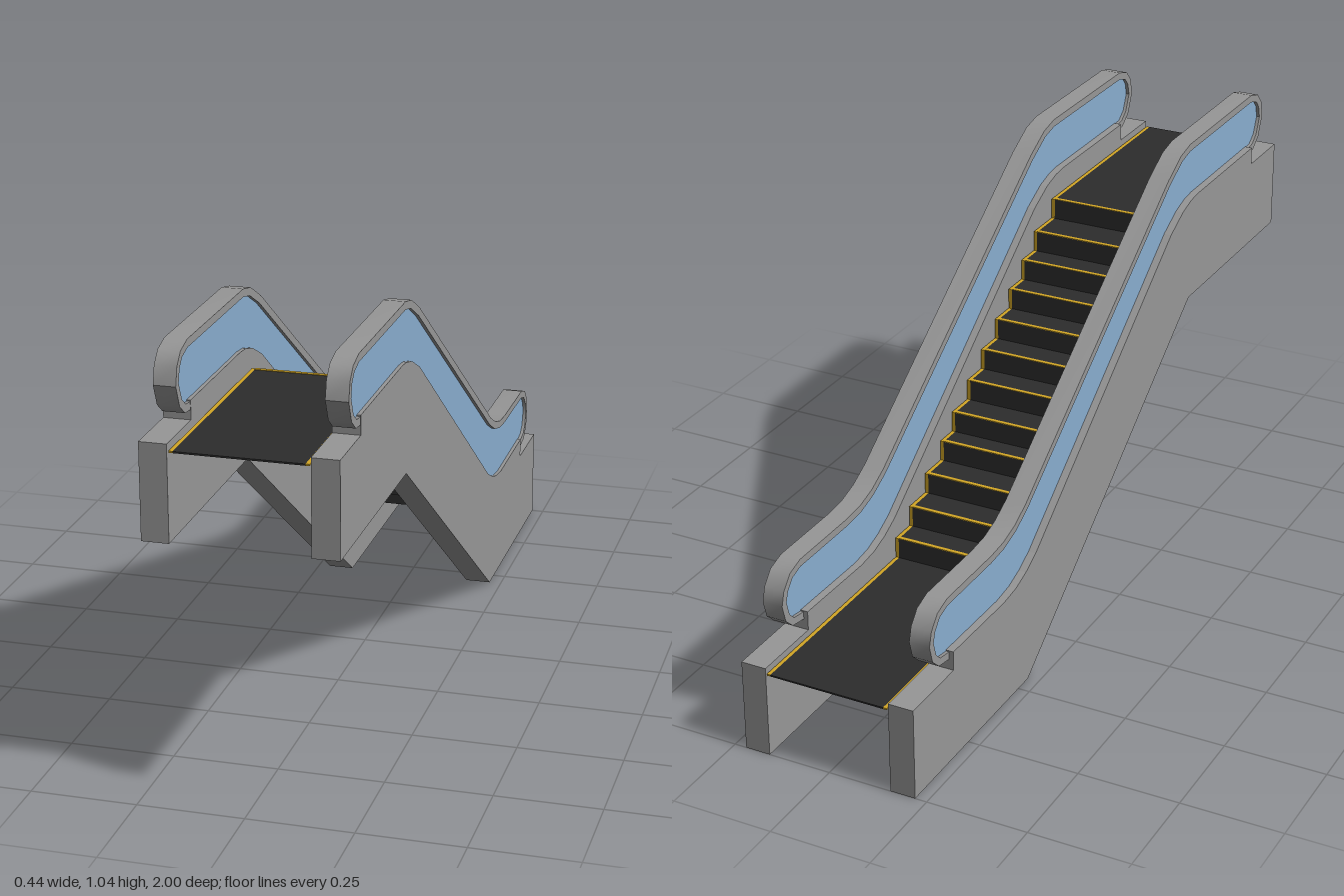
import * as THREE from 'three';
import { toCreasedNormals } from 'three/addons/utils/BufferGeometryUtils.js';

const mat = (name, color) => {
  const m = new THREE.MeshStandardMaterial({ color });
  m.name = name;
  return m;
};

// Extrude a side outline given as [z, y] points from x0 to x1
function sideExtrude(points, x0, x1) {
  const shape = new THREE.Shape(points.map(([z, y]) => new THREE.Vector2(z, y)));
  const g = new THREE.ExtrudeGeometry(shape, { depth: x1 - x0, bevelEnabled: false });
  g.rotateY(-Math.PI / 2);
  g.translate(x1, 0, 0);
  return g;
}

// Shift an open path sideways by d, mitred at the corners
function offsetPath(path, d) {
  return path.map((p, i) => {
    const a = path[Math.max(i - 1, 0)], b = path[Math.min(i + 1, path.length - 1)];
    const dz = b[0] - a[0], dy = b[1] - a[1], len = Math.hypot(dz, dy);
    return [p[0] - (dy / len) * d, p[1] + (dz / len) * d];
  });
}

export function createModel() {
  const group = new THREE.Group();
  const metal = mat('grey metal', 0x979797);
  const glassBlue = mat('blue glass', 0x89adcf);
  const black = mat('black step', 0x2d2d2d);
  const yellow = mat('safety yellow', 0xd2a625);

  const add = (name, geometry, material) => {
    const mesh = new THREE.Mesh(geometry, material);
    mesh.name = name;
    group.add(mesh);
    return mesh;
  };

  // Upper edge of the side walls, from the high end to the low end
  const wallTop = [
    [0.84, 0.9], [0.49, 0.9], [0.45, 0.896], [0.4, 0.882], [0.33, 0.847],
    [-0.41, 0.322], [-0.46, 0.297], [-0.51, 0.281], [-0.57, 0.274], [-0.815, 0.278],
  ];
  const wall = [
    [1, 0.63], [1, 0.855], [0.84, 0.855], ...wallTop,
    [-0.815, 0.23], [-1, 0.23], [-1, 0], [-0.45, 0], [0.45, 0.63],
  ];

  // Outer line of the handrail, curling under at both ends
  const railOuter = [
    [0.84, 0.878], [0.875, 0.882], [0.908, 0.907], [0.93, 0.958], [0.92, 1.0],
    [0.895, 1.027], [0.85, 1.04], [0.46, 1.04], [0.405, 1.028], [0.33, 0.988],
    [-0.44, 0.465], [-0.495, 0.437], [-0.55, 0.421], [-0.61, 0.416], [-0.82, 0.416],
    [-0.865, 0.402], [-0.893, 0.37], [-0.903, 0.335], [-0.89, 0.29],
    [-0.862, 0.264], [-0.815, 0.256],
  ];
  const railInner = offsetPath(railOuter, 0.019);
  const rail = [...railOuter, ...[...railInner].reverse()];

  // Glass fills the rail and sinks slightly into the wall
  const sunkTop = wallTop.map(([z, y]) => [z, y - 0.012]).slice(1, -1).reverse();
  const glass = [...offsetPath(railOuter, 0.017), ...sunkTop];

  // Both balustrades
  for (const [side, x] of [['left', 0.157], ['right', -0.221]]) {
    add(side + 'Wall', sideExtrude(wall, x, x + 0.063), metal);
    add(side + 'Handrail', toCreasedNormals(sideExtrude(rail, x + 0.011, x + 0.062), 0.6), metal);
    add(side + 'Glass', sideExtrude(glass, x + 0.019, x + 0.054), glassBlue);
  }

  // Stair profile: upper landing, twelve risers, lower landing
  const edges = [0.42, 0.32, 0.25, 0.18, 0.105, 0.03, -0.045, -0.125, -0.185, -0.265, -0.345, -0.415];
  const top = 0.84, rise = (0.84 - 0.217) / edges.length, t = 0.004;
  const stairTop = [[1, top]];
  edges.forEach((z, i) => stairTop.push([z, top - i * rise], [z, top - (i + 1) * rise]));
  stairTop.push([-1, top - edges.length * rise]);
  const stairUnder = stairTop.map(([z, y]) => [Math.min(z === -1 ? -1 : z + t, 1), y - t]);
  const stair = [...stairTop, ...stairUnder.reverse()];

  add('steps', sideExtrude(stair, -0.145, 0.145), black);
  add('leftStepBorder', sideExtrude(stair, 0.145, 0.154), yellow);
  add('rightStepBorder', sideExtrude(stair, -0.154, -0.145), yellow);

  // Yellow line on the edge of each tread
  edges.forEach((z, i) => {
    const line = add('stepEdge' + (i + 1), new THREE.BoxGeometry(0.29, 0.002, 0.01), yellow);
    line.position.set(0, top - i * rise + 0.0005, z + 0.005);
  });

  return group;
}
